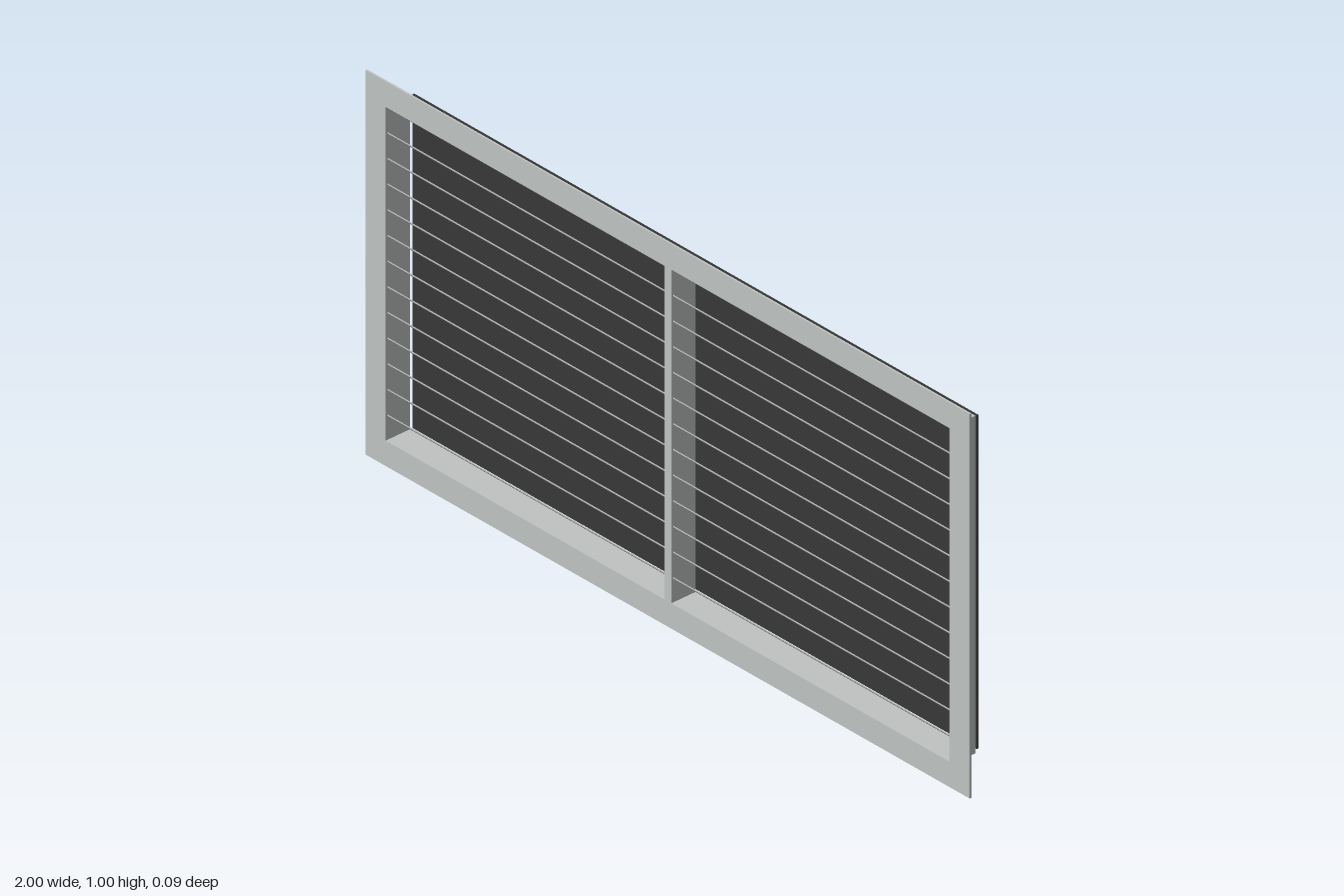
import * as THREE from 'three';

export function createModel() {
  const group = new THREE.Group();
  const aluminium = new THREE.MeshStandardMaterial({ color: 0xbfc3c2 });
  aluminium.name = 'aluminium';
  const black = new THREE.MeshStandardMaterial({ color: 0x383838 });
  black.name = 'black';

  const add = (name, geometry, material, x = 0, y = 0, z = 0) => {
    const mesh = new THREE.Mesh(geometry, material);
    mesh.name = name;
    mesh.position.set(x, y, z);
    group.add(mesh);
    return mesh;
  };

  // Rectangular ring, extruded along z from z0 to z1
  const ring = (name, outerW, outerH, innerW, innerH, z0, z1) => {
    const rect = (path, w, h) => path
      .moveTo(-w / 2, -h / 2).lineTo(w / 2, -h / 2)
      .lineTo(w / 2, h / 2).lineTo(-w / 2, h / 2).closePath();
    const shape = new THREE.Shape();
    rect(shape, outerW, outerH);
    const hole = new THREE.Path();
    rect(hole, innerW, innerH);
    shape.holes.push(hole);
    const geometry = new THREE.ExtrudeGeometry(shape, { depth: z1 - z0, bevelEnabled: false });
    add(name, geometry, aluminium, 0, 0.5, z0);
  };

  const openW = 1.868, openH = 0.868;
  ring('frontFlange', 2, 1, openW, openH, 0.038, 0.043);
  ring('sleeve', 1.878, 0.878, openW, openH, -0.03, 0.038);

  // Centre mullion between the two banks of slats
  const mullionW = 0.024;
  add('mullion', new THREE.BoxGeometry(mullionW, openH, 0.072), aluminium, 0, 0.5, 0.006);

  // Slats slope from the front edge down towards the back
  const rows = 13, pitch = openH / rows;
  const front = 0.038, back = -0.03, thick = 0.004;
  const profile = new THREE.Shape([
    new THREE.Vector2(-front, pitch / 2),
    new THREE.Vector2(-front, pitch / 2 - thick),
    new THREE.Vector2(-back, -pitch / 2),
    new THREE.Vector2(-back, -pitch / 2 + thick),
  ]);
  const slatLength = (openW - mullionW) / 2;
  const slat = new THREE.ExtrudeGeometry(profile, { depth: slatLength, bevelEnabled: false });
  slat.rotateY(Math.PI / 2); // profile x becomes -z, length runs along +x
  for (let i = 0; i < rows; i++) {
    const y = 0.5 - openH / 2 + (i + 0.5) * pitch;
    add('slatRight', slat, aluminium, -openW / 2, y);
    add('slatLeft', slat, aluminium, mullionW / 2, y);
  }

  // Dark backing sheet, slightly behind the sleeve
  add('backPanel', new THREE.BoxGeometry(1.868, 0.868, 0.005), black, 0, 0.5, -0.0405);

  return group;
}
